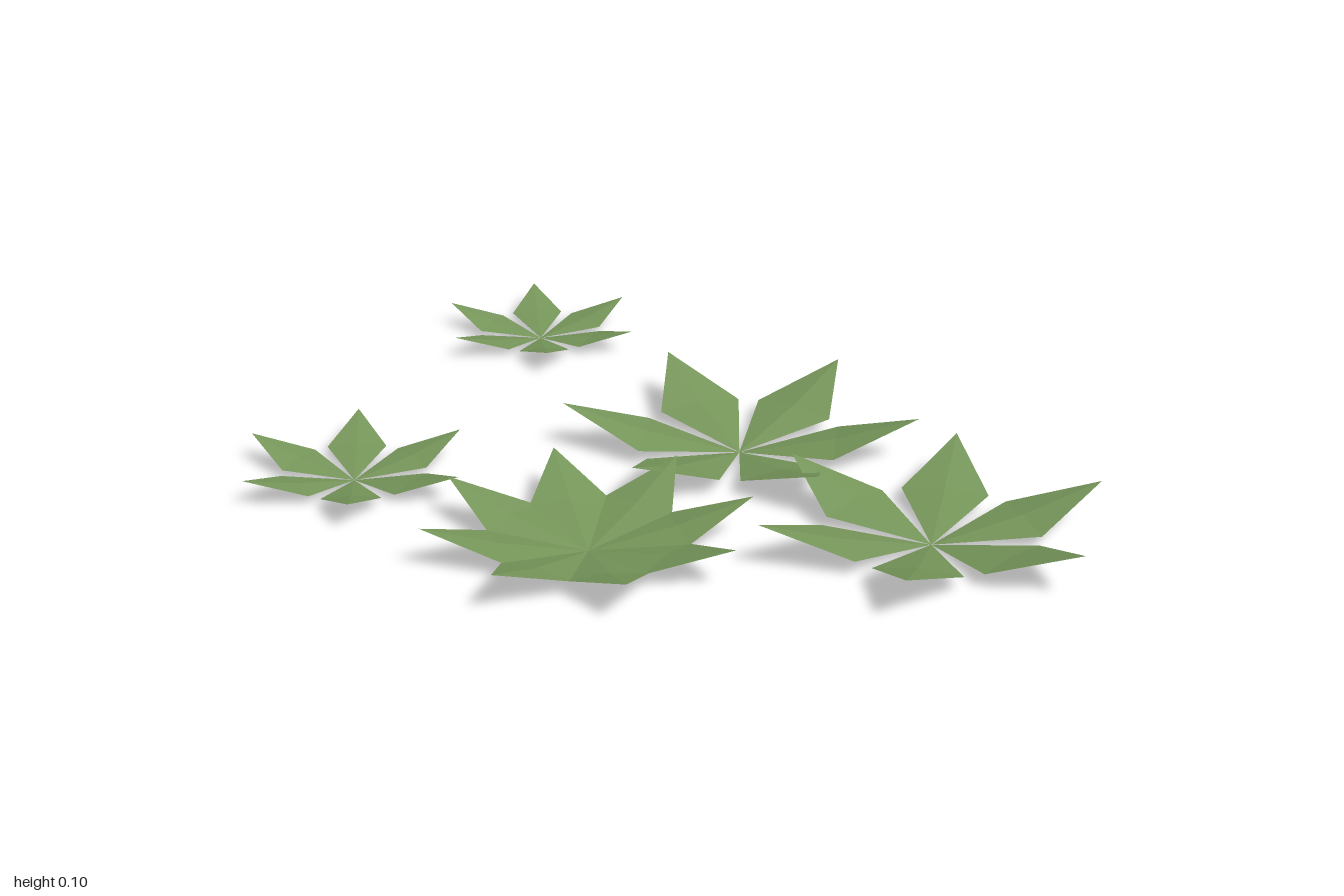
import * as THREE from 'three';

// One kite-shaped leaf lying along +x, curling up to its tip, with a faint midrib ridge
function leafGeometry(length, height) {
  const shoulderX = 0.54 * length, halfWidth = 0.245 * length;
  const points = [
    0, 0, 0,
    shoulderX, 0.33 * height, -halfWidth,
    shoulderX, 0.44 * height, 0,
    shoulderX, 0.33 * height, halfWidth,
    length, height, 0,
  ];
  const geometry = new THREE.BufferGeometry();
  geometry.setAttribute('position', new THREE.Float32BufferAttribute(points, 3));
  geometry.setIndex([0, 2, 1, 0, 3, 2, 1, 2, 4, 2, 3, 4]);
  const flat = geometry.toNonIndexed();
  flat.computeVertexNormals();
  return flat;
}

export function createModel() {
  const model = new THREE.Group();
  model.name = 'leafyGroundPlants';

  const leafGreen = new THREE.MeshStandardMaterial({ color: 0x76965a, side: THREE.DoubleSide });
  leafGreen.name = 'leafGreen';

  // Rosettes: centre, leaf length, tip height, number of leaves, turn in degrees
  const rosettes = [
    { name: 'backSmallPlant', x: -0.193, z: -0.742, length: 0.257, height: 0.057, leaves: 6, turn: -29 },
    { name: 'rightSmallPlant', x: -0.69, z: 0.119, length: 0.277, height: 0.063, leaves: 6, turn: -26 },
    { name: 'middleLargePlant', x: 0.204, z: 0.061, length: 0.414, height: 0.104, leaves: 6, turn: 13.5 },
    { name: 'leftLargePlant', x: 0.542, z: 0.616, length: 0.398, height: 0.1, leaves: 6, turn: -10.3 },
    { name: 'frontDensePlant', x: -0.198, z: 0.56, length: 0.367, height: 0.091, leaves: 8, turn: -6.6 },
  ];

  for (const r of rosettes) {
    const plant = new THREE.Group();
    plant.name = r.name;
    plant.position.set(r.x, 0, r.z);
    const geometry = leafGeometry(r.length, r.height);
    for (let i = 0; i < r.leaves; i++) {
      const leaf = new THREE.Mesh(geometry, leafGreen);
      leaf.name = 'leaf';
      leaf.rotation.y = -THREE.MathUtils.degToRad(r.turn + (i * 360) / r.leaves);
      plant.add(leaf);
    }
    model.add(plant);
  }
  return model;
}
